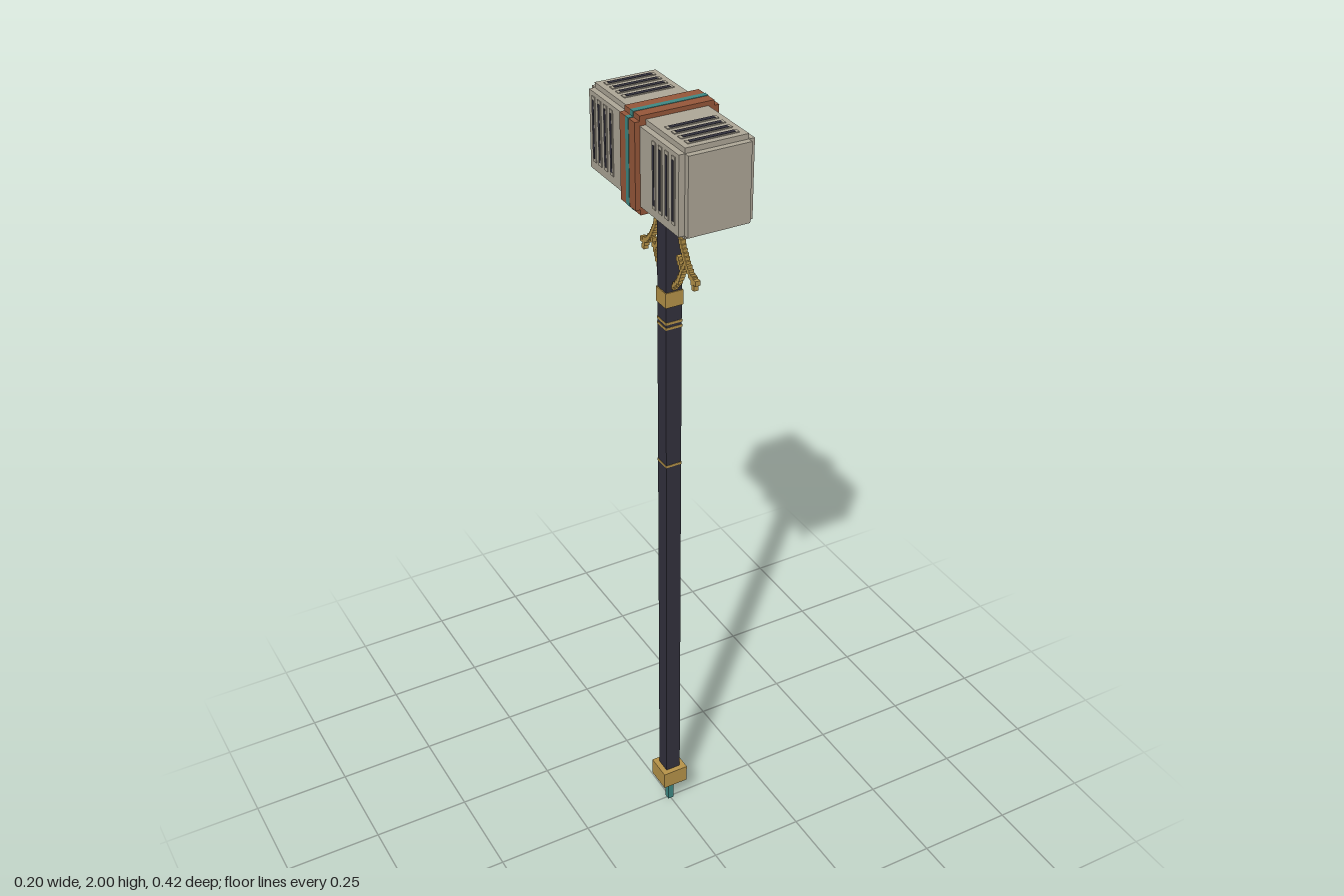
import * as THREE from 'three';

const mat = (name, color) => {
  const m = new THREE.MeshStandardMaterial({ color });
  m.name = name;
  return m;
};

export function createModel() {
  const stone = mat('stone', 0xb0a999);
  const rust = mat('rust', 0x98583a);
  const teal = mat('teal', 0x3f8a85);
  const gold = mat('gold', 0xb8954a);
  const dark = mat('dark', 0x33323e);

  const model = new THREE.Group();
  model.name = 'warHammer';
  const group = (name) => {
    const g = new THREE.Group();
    g.name = name;
    model.add(g);
    return g;
  };
  // Box given by its extents on each axis
  const box = (parent, name, m, [x0, x1], [y0, y1], [z0, z1]) => {
    const mesh = new THREE.Mesh(new THREE.BoxGeometry(x1 - x0, y1 - y0, z1 - z0), m);
    mesh.position.set((x0 + x1) / 2, (y0 + y1) / 2, (z0 + z1) / 2);
    mesh.name = name;
    parent.add(mesh);
    return mesh;
  };
  const pm = (v, c = 0) => [c - v, c + v];

  // Shaft with its rings and foot
  const shaft = group('shaft');
  box(shaft, 'pole', dark, pm(0.02), [0.12, 1.76], pm(0.02));
  box(shaft, 'footSpike', teal, pm(0.008), [0, 0.065], pm(0.008));
  box(shaft, 'footStep', gold, pm(0.02), [0.06, 0.08], pm(0.02));
  box(shaft, 'footCap', gold, pm(0.034), [0.075, 0.123], pm(0.034));
  box(shaft, 'upperCollar', gold, pm(0.0225), [1.53, 1.567], pm(0.0225));
  for (const [y, h] of [[1.476, 0.003], [1.489, 0.003], [1.105, 0.003]])
    box(shaft, 'thinRing', gold, pm(0.021), pm(h, y), pm(0.021));
  box(shaft, 'neckStep', gold, pm(0.0225), [1.745, 1.765], pm(0.0225));
  box(shaft, 'neckCap', gold, pm(0.034), [1.757, 1.79], pm(0.034));

  // Head: overlapping blocks give stepped edges
  const head = group('head');
  box(head, 'wideBlock', stone, pm(0.088), [1.797, 1.977], pm(0.196));
  box(head, 'tallBlock', stone, pm(0.074), [1.789, 1.989], pm(0.196));
  box(head, 'longBlock', stone, pm(0.074), [1.797, 1.977], pm(0.21));

  // Vents on the top, underside and both flanks
  for (const s of [-1, 1]) {
    for (const d of [0.094, 0.121, 0.148, 0.175]) {
      const z = s * d;
      for (const y of [1.789, 1.989]) {
        box(head, 'ventFrame', stone, pm(0.06), pm(0.002, y), pm(0.007, z));
        box(head, 'ventSlot', dark, pm(0.053), pm(0.003, y), pm(0.005, z));
      }
      for (const x of [-0.088, 0.088]) {
        box(head, 'ventFrame', stone, pm(0.002, x), [1.817, 1.967], pm(0.007, z));
        box(head, 'ventSlot', dark, pm(0.003, x), [1.825, 1.959], pm(0.003, z));
      }
    }
  }

  // Central band with an inlaid stripe
  const band = group('band');
  box(band, 'bandWide', rust, pm(0.1), [1.79, 1.987], pm(0.033));
  box(band, 'bandTall', rust, pm(0.088), [1.777, 1.999], pm(0.033));
  box(band, 'stripeWide', teal, pm(0.101), [1.79, 1.988], pm(0.007));
  box(band, 'stripeTall', teal, pm(0.089), [1.777, 2], pm(0.007));

  // Branches: chains of small cubes stepping along a path of [z, y] points
  const chain = (parent, points, s) => {
    const step = 0.01;
    points.slice(1).forEach(([z1, y1], i) => {
      const [z0, y0] = points[i];
      const n = Math.max(1, Math.round(Math.hypot(z1 - z0, y1 - y0) / step));
      for (let k = 0; k <= n; k++) {
        const z = s * (z0 + (z1 - z0) * k / n), y = y0 + (y1 - y0) * k / n;
        box(parent, 'twigCube', gold, pm(0.006), pm(0.006, y), pm(0.005, z));
      }
    });
  };
  for (const s of [-1, 1]) {
    const branch = group(s > 0 ? 'frontBranch' : 'backBranch');
    chain(branch, [[0.022, 1.58], [0.045, 1.605], [0.06, 1.635], [0.078, 1.663], [0.06, 1.695], [0.045, 1.735], [0.034, 1.752]], s);
    chain(branch, [[0.06, 1.635], [0.045, 1.66]], s);
    chain(branch, [[0.078, 1.663], [0.098, 1.642], [0.12, 1.635]], s);
    chain(branch, [[0.105, 1.64], [0.113, 1.62]], s);
    // Small buds hanging under the head
    chain(branch, [[0.155, 1.785], [0.138, 1.77]], s);
    chain(branch, [[0.068, 1.785], [0.068, 1.77]], s);
  }

  return model;
}
